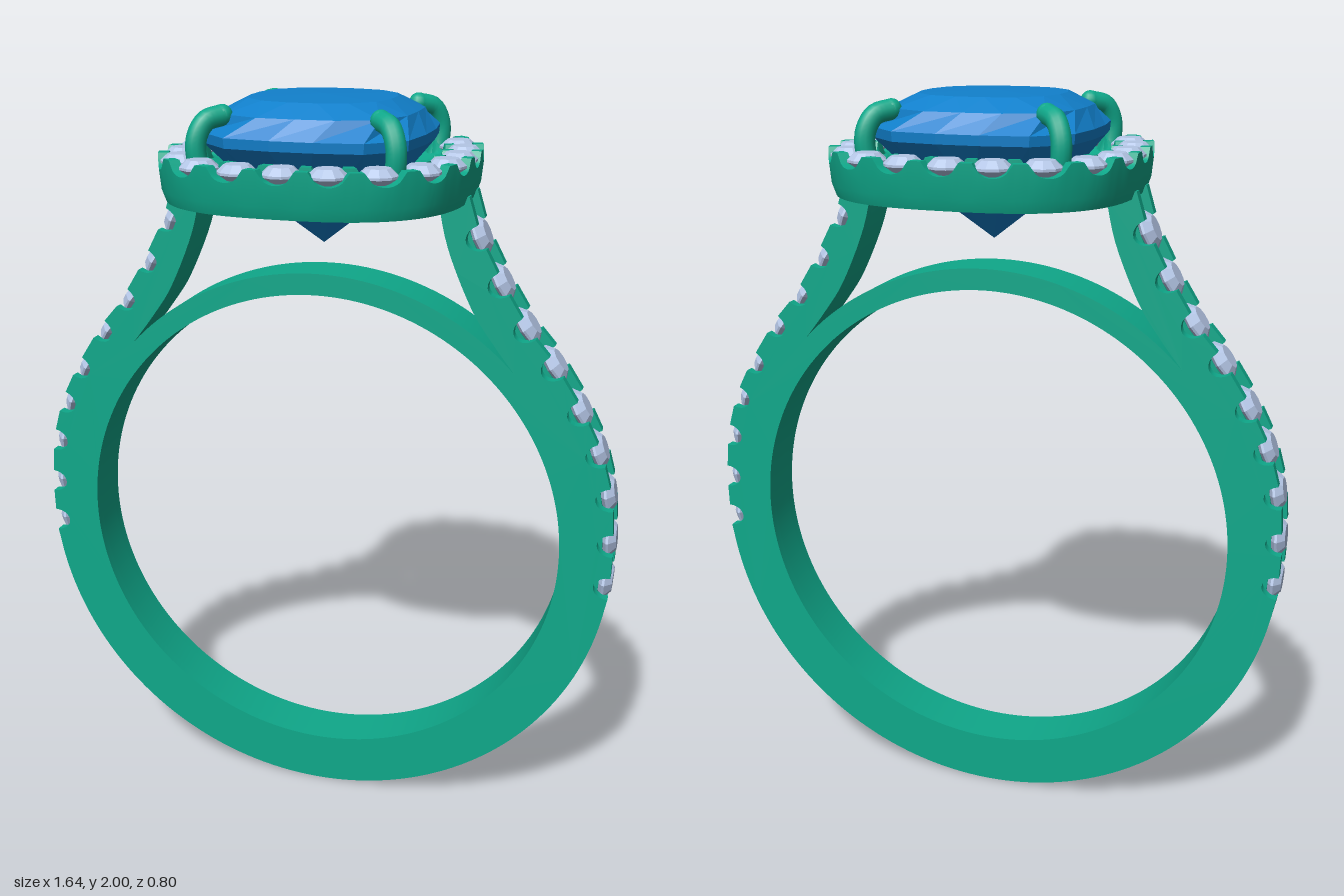
import * as THREE from 'three';
import { toCreasedNormals } from 'three/addons/utils/BufferGeometryUtils.js';

const metal = new THREE.MeshStandardMaterial({ color: 0x0fa88a });
const paleGem = new THREE.MeshStandardMaterial({ color: 0xb4c6e6 });
const blueGem = new THREE.MeshStandardMaterial({ color: 0x1180cc });
const V2 = (x, y) => new THREE.Vector2(x, y);

function add(parent, name, geo, mat) {
  const mesh = new THREE.Mesh(geo, mat);
  mesh.name = name;
  parent.add(mesh);
  return mesh;
}

// Cushion outline: radius factor at an angle, n sets how square it is
const cushion = (a, n) => (Math.abs(Math.cos(a)) ** n + Math.abs(Math.sin(a)) ** n) ** (-1 / n);

// Skin over a grid of points: rows run up the profile, columns run around
function loft(rows, cols, point) {
  const pos = [], idx = [];
  for (let j = 0; j < rows; j++) for (let i = 0; i < cols; i++) pos.push(...point(i, j));
  for (let j = 0; j < rows - 1; j++) for (let i = 0; i < cols; i++) {
    const k = (i + 1) % cols;
    const a = j * cols + i, b = j * cols + k, c = a + cols, d = b + cols;
    idx.push(a, c, b, b, c, d);
  }
  const geo = new THREE.BufferGeometry();
  geo.setAttribute('position', new THREE.Float32BufferAttribute(pos, 3));
  geo.setIndex(idx);
  return geo;
}

// Small round stone, table facing +y
function smallStone(radius) {
  const r = radius;
  const geo = new THREE.LatheGeometry([V2(0, -0.8 * r), V2(r, -0.12 * r), V2(r, 0),
    V2(0.62 * r, 0.34 * r), V2(0, 0.34 * r)], 10).toNonIndexed();
  geo.computeVertexNormals();
  return geo;
}

// Outer line of the shoulder, through the stone seats
const seats = [[0.812, 0.75], [0.813, 0.875], [0.8, 1.005], [0.765, 1.125], [0.71, 1.235],
  [0.635, 1.35], [0.56, 1.445], [0.49, 1.555], [0.43, 1.67]].map(p => V2(...p));
const outer = new THREE.SplineCurve([V2(0.805, 0.69), ...seats, V2(0.395, 1.77)]);
const seatFrames = seats.map((p, i) => {
  const t = outer.getTangent((i + 1) / (seats.length + 1));
  return { p, t, n: V2(t.y, -t.x) };
});

// Front outline of the band; notched = side walls, otherwise the lower core
function bandShape(notched) {
  const pts = [];
  for (let i = 0; i <= 40; i++) {
    const a = -Math.PI / 2 + (Math.PI / 2 - 0.155) * i / 40;
    pts.push(V2(0.815 * Math.cos(a), 0.815 + 0.815 * Math.sin(a)));
  }
  if (notched) {
    for (const { p, t, n } of seatFrames) for (let k = 0; k <= 10; k++) {
      const a = Math.PI * k / 10;
      pts.push(p.clone().addScaledVector(t, -0.032 * Math.cos(a)).addScaledVector(n, -0.042 * Math.sin(a)));
    }
    pts.push(V2(0.395, 1.77));
  } else {
    for (let i = 0; i <= 50; i++) {
      const t = outer.getTangent(i / 50);
      pts.push(outer.getPoint(i / 50).add(V2(-t.y, t.x).multiplyScalar(0.03)));
    }
  }
  // Inner side of the shoulder, then the bridge under the head
  const inside = new THREE.SplineCurve([V2(0.315, 1.77), V2(0.345, 1.64), V2(0.41, 1.49), V2(0.47, 1.4), V2(0.53, 1.323)]);
  pts.push(...inside.getPoints(20));
  for (let i = 1; i <= 24; i++) {
    const a = 0.761 + (Math.PI / 2 - 0.761) * i / 24;
    pts.push(V2(0.7325 * Math.cos(a), 0.8175 + 0.7325 * Math.sin(a)));
  }
  const left = pts.slice(1, -1).reverse().map(p => V2(-p.x, p.y));
  const shape = new THREE.Shape([...pts, ...left]);
  shape.holes.push(new THREE.Path().absarc(0, 0.8175, 0.675, 0, Math.PI * 2, true));
  return shape;
}

function bandLayer(notched, z0, z1) {
  const geo = new THREE.ExtrudeGeometry(bandShape(notched), { depth: z1 - z0, bevelEnabled: false, curveSegments: 96 });
  geo.translate(0, 0, z0);
  return toCreasedNormals(geo, 0.5);
}

function buildBand() {
  const band = new THREE.Group();
  band.name = 'band';
  add(band, 'bandCore', bandLayer(false, -0.042, 0.042), metal);
  add(band, 'bandFrontWall', bandLayer(true, 0.042, 0.07), metal);
  add(band, 'bandBackWall', bandLayer(true, -0.07, -0.042), metal);
  const stone = smallStone(0.055);
  for (const side of [1, -1]) for (const { p, n } of seatFrames) {
    const m = add(band, 'shoulderStone', stone, paleGem);
    m.position.set(side * (p.x - n.x * 0.014), p.y - n.y * 0.014, 0);
    m.rotation.z = side * Math.atan2(-n.x, n.y);
  }
  return band;
}

function buildHalo() {
  const halo = new THREE.Group();
  halo.name = 'halo';
  const count = 20, per = 16, cols = count * per;
  // Closed section [radius, height]; TOP edges dip at each stone
  const TOP = 1.865, FLOOR = 1.83;
  const section = [[0.385, 1.75], [0.395, 1.78], [0.4, TOP], [0.374, TOP], [0.374, FLOOR], [0.326, FLOOR],
    [0.326, TOP], [0.302, TOP], [0.295, 1.83], [0.245, 1.81], [0.245, 1.79], [0.305, 1.75], [0.385, 1.75]];
  const ring = loft(section.length, cols, (i, j) => {
    const a = i / cols * Math.PI * 2;
    const d = Math.abs((i / per + 0.5) % 1 - 0.5) / 0.33;
    let [r, y] = section[j];
    if (y === TOP && d < 1) y -= 0.034 * Math.sqrt(1 - d * d);
    r *= cushion(a, 2.65);
    return [r * Math.cos(a), y, r * Math.sin(a)];
  });
  add(halo, 'haloRing', toCreasedNormals(ring, 0.6), metal);
  const stone = smallStone(0.05);
  for (let i = 0; i < count; i++) {
    const a = i / count * Math.PI * 2, r = 0.35 * cushion(a, 2.65);
    const m = add(halo, 'haloStone', stone, paleGem);
    m.position.set(r * Math.cos(a), 1.852, r * Math.sin(a));
    m.rotation.y = -a;
  }
  return halo;
}

function buildCentreStone() {
  // Rings [radius, height, squareness, half-step twist] from the point up to the table
  const rings = [[0, 1.62, 2, 0], [0.165, 1.75, 2.4, 0], [0.278, 1.89, 3.6, 0.5], [0.28, 1.915, 3.6, 0.5],
    [0.245, 1.963, 3.2, 0], [0.185, 1.995, 2.6, 0.5], [0, 2, 2, 0.5]];
  const geo = loft(rings.length, 16, (i, j) => {
    const [r, y, n, twist] = rings[j];
    const a = (i + twist) / 16 * Math.PI * 2, s = r * cushion(a, n);
    return [s * Math.cos(a), y, s * Math.sin(a)];
  }).toNonIndexed();
  geo.computeVertexNormals();
  const mesh = new THREE.Mesh(geo, blueGem);
  mesh.name = 'centreStone';
  return mesh;
}

function buildProngs() {
  const prongs = new THREE.Group();
  prongs.name = 'prongs';
  const path = new THREE.CatmullRomCurve3([[0.232, 1.79], [0.25, 1.86], [0.25, 1.91], [0.232, 1.95], [0.2, 1.962]]
    .map(([d, y]) => new THREE.Vector3(d, y, d)));
  const tube = new THREE.TubeGeometry(path, 20, 0.026, 12);
  const tip = new THREE.SphereGeometry(0.026, 14, 10);
  for (let q = 0; q < 4; q++) {
    const prong = new THREE.Group();
    prong.name = 'prong';
    add(prong, 'prongStem', tube, metal);
    add(prong, 'prongTip', tip, metal).position.set(0.2, 1.962, 0.2);
    prong.rotation.y = q * Math.PI / 2;
    prongs.add(prong);
  }
  return prongs;
}

export function createModel() {
  const ring = new THREE.Group();
  ring.name = 'ring';
  ring.add(buildBand(), buildHalo(), buildCentreStone(), buildProngs());
  return ring;
}
